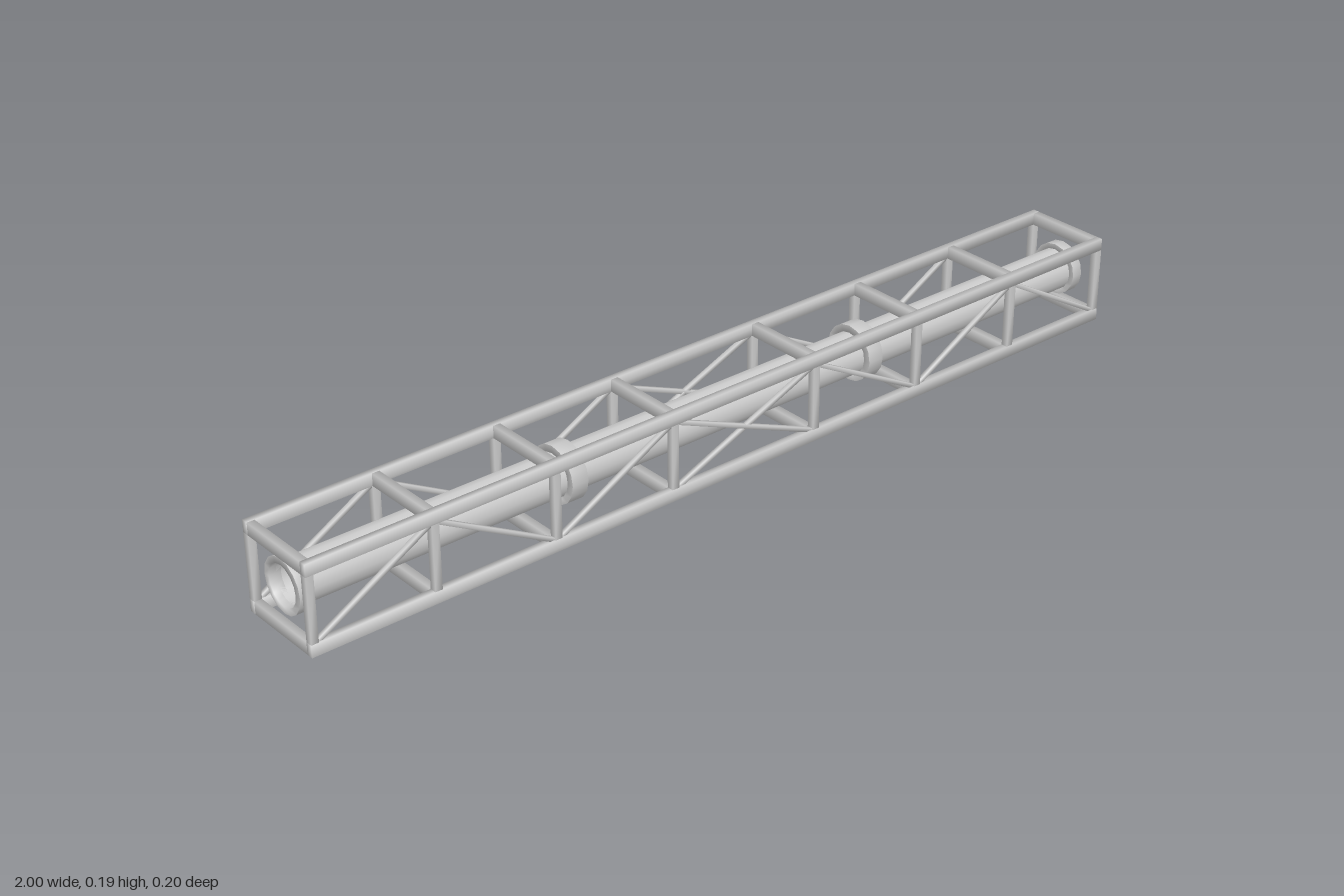
import * as THREE from 'three';
import { mergeVertices } from 'three/addons/utils/BufferGeometryUtils.js';

const H = 0.19, W = 0.198;        // frame height and depth
const RAIL_Y = 0.026, RAIL_Z = 0.015;
const BAR = 0.016;                // width of posts and cross bars along x
const AXIS_Y = 0.096;             // centre line of the pipe

export function createModel() {
  const model = new THREE.Group();
  const material = new THREE.MeshStandardMaterial({ color: 0xcccccc });

  const add = (name, geometry, x, y, z) => {
    const mesh = new THREE.Mesh(geometry, material);
    mesh.name = name;
    mesh.position.set(x, y, z);
    model.add(mesh);
    return mesh;
  };

  // Box with shared corner normals, giving softly shaded bars
  const softBox = (w, h, d) => {
    const box = new THREE.BoxGeometry(w, h, d);
    box.deleteAttribute('normal');
    box.deleteAttribute('uv');
    const soft = mergeVertices(box);
    soft.computeVertexNormals();
    return soft;
  };

  const railZ = W / 2 - RAIL_Z / 2;
  const yLow = RAIL_Y / 2, yHigh = H - RAIL_Y / 2;

  // Four long rails
  for (const z of [-railZ, railZ])
    for (const y of [yLow, yHigh])
      add('longRail', softBox(2, RAIL_Y, RAIL_Z), 0, y, z);

  // Posts and cross bars at every station
  const end = 1 - BAR / 2;
  const stations = [-end, -0.73, -0.46, -0.18, 0.18, 0.46, 0.73, end];
  for (const x of stations) {
    for (const z of [-railZ, railZ])
      add('post', softBox(BAR, H - 2 * RAIL_Y, RAIL_Z), x, H / 2, z);
    for (const y of [yLow, yHigh])
      add('crossBar', softBox(BAR, RAIL_Y, W - 2 * RAIL_Z), x, y, 0);
  }

  // Diagonal braces: 1 rises towards +x, -1 falls, the middle bay has both
  const bays = [[1], [-1], [1], [1, -1], [-1], [1], [-1]];
  const rise = H - 2 * RAIL_Y + 0.01;
  bays.forEach((directions, i) => {
    const run = stations[i + 1] - stations[i];
    const middle = (stations[i + 1] + stations[i]) / 2;
    for (const direction of directions)
      for (const z of [-railZ, railZ]) {
        const brace = add('diagonalBrace',
          softBox(Math.hypot(run, rise), 0.009, 0.009), middle, H / 2, z);
        brace.rotation.z = direction * Math.atan2(rise, run);
      }
  });

  // Hollow round part lying along x
  const ring = (name, inner, outer, length, x) => {
    const h = length / 2;
    const profile = [[outer, -h], [outer, h], [inner, h], [inner, -h], [outer, -h]]
      .map(([r, y]) => new THREE.Vector2(r, y));
    const mesh = add(name, new THREE.LatheGeometry(profile, 16), x, AXIS_Y, 0);
    mesh.rotation.z = -Math.PI / 2;
  };

  ring('pipe', 0.043, 0.0455, 1.95, 0);
  for (const side of [-1, 1]) {
    ring('endFlange', 0.043, 0.057, 0.025, side * 0.977);
    ring('pipeCollar', 0.044, 0.061, 0.037, side * 0.378);
  }

  return model;
}
